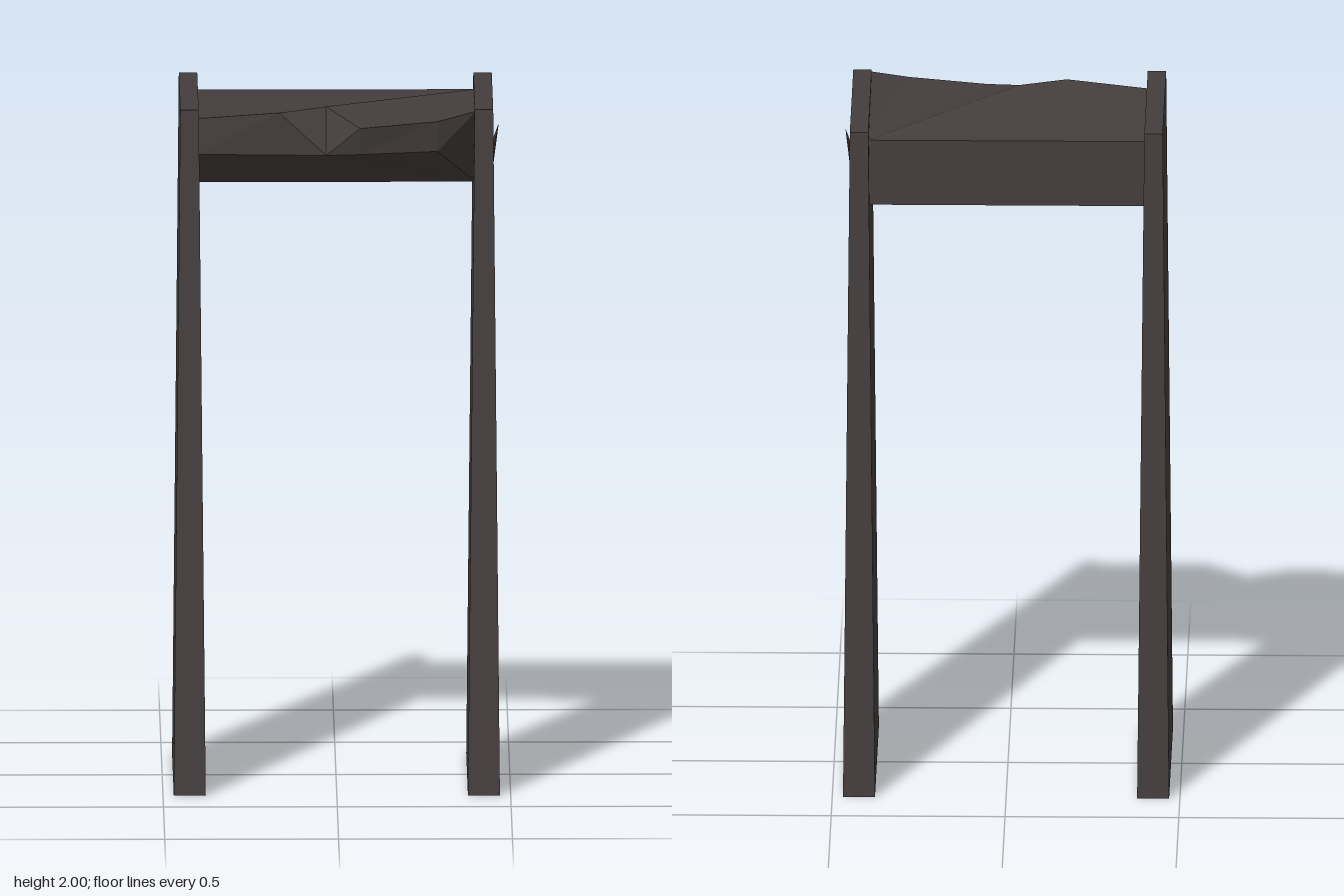
import * as THREE from 'three';

// Flat-sided mesh from convex polygons, each fanned from its first corner
function facets(name, polygons, material) {
  const pos = [];
  for (const p of polygons)
    for (let i = 1; i < p.length - 1; i++) pos.push(...p[0], ...p[i], ...p[i + 1]);
  const g = new THREE.BufferGeometry();
  g.setAttribute('position', new THREE.Float32BufferAttribute(pos, 3));
  g.computeVertexNormals();
  const mesh = new THREE.Mesh(g, material);
  mesh.name = name;
  return mesh;
}

// Tapered slab, open underneath
function pillar(name, side, material) {
  const ring = (y, inner, outer, z) => {
    const a = Math.min(side * inner, side * outer);
    const b = Math.max(side * inner, side * outer);
    return [[a, y, z], [b, y, z], [b, y, -z], [a, y, -z]];
  };
  const low = ring(0, 0.377, 0.469, 0.325);
  const high = ring(2, 0.397, 0.45, 0.29);
  const faces = [high];
  for (let i = 0; i < 4; i++) {
    const j = (i + 1) % 4;
    faces.push([low[i], low[j], high[j], high[i]]);
  }
  return facets(name, faces, material);
}

// Lintel with a broken, notched front edge
function lintel(material) {
  const x = 0.4, zBack = -0.24, yLow = 1.765, zLow = 0.16;
  const backLeftTop = [-x, 1.96, zBack], backRightTop = [x, 1.96, zBack];
  const backLeftLow = [-x, yLow, zBack], backRightLow = [x, yLow, zBack];
  const frontLeftLow = [-x, yLow, zLow], frontRightLow = [x, yLow, zLow];
  // upper rim and lower rim of the front, from -x to +x
  const rim = [[-x, 1.965, 0.235], [-0.165, 1.985, 0.255], [-0.03, 1.99, 0.185],
    [0.067, 1.95, 0.315], [0.29, 1.97, 0.315], [x, 1.995, 0.288]];
  const mid = [[-x, 1.86, 0.235], [-0.03, 1.86, 0.255], [0.067, 1.87, 0.295], [0.29, 1.88, 0.3]];
  return facets('lintel', [
    [backRightTop, backLeftTop, ...rim],
    [backRightLow, backLeftLow, backLeftTop, backRightTop],
    [frontLeftLow, backLeftLow, backRightLow, frontRightLow],
    [frontRightLow, mid[3], mid[2], mid[1], mid[0], frontLeftLow],
    [mid[0], mid[1], rim[1], rim[0]],
    [mid[1], rim[2], rim[1]],
    [mid[1], rim[3], rim[2]],
    [mid[1], mid[2], rim[3]],
    [mid[2], mid[3], rim[4], rim[3]],
    [mid[3], frontRightLow, rim[5], rim[4]],
  ], material);
}

export function createModel() {
  const stone = new THREE.MeshStandardMaterial({ color: 0x443e3d, flatShading: true, side: THREE.DoubleSide });
  stone.name = 'dark stone';
  const group = new THREE.Group();
  group.name = 'stoneGate';
  group.add(pillar('leftPillar', 1, stone), pillar('rightPillar', -1, stone), lintel(stone));

  // Small raised chip on the outer face of the left pillar
  const tip = [0.468, 1.91, 0.02], front = [0.452, 1.85, 0.065];
  const low = [0.453, 1.79, 0], back = [0.452, 1.85, -0.06];
  group.add(facets('stoneChip', [[tip, front, low], [tip, low, back]], stone));
  return group;
}
